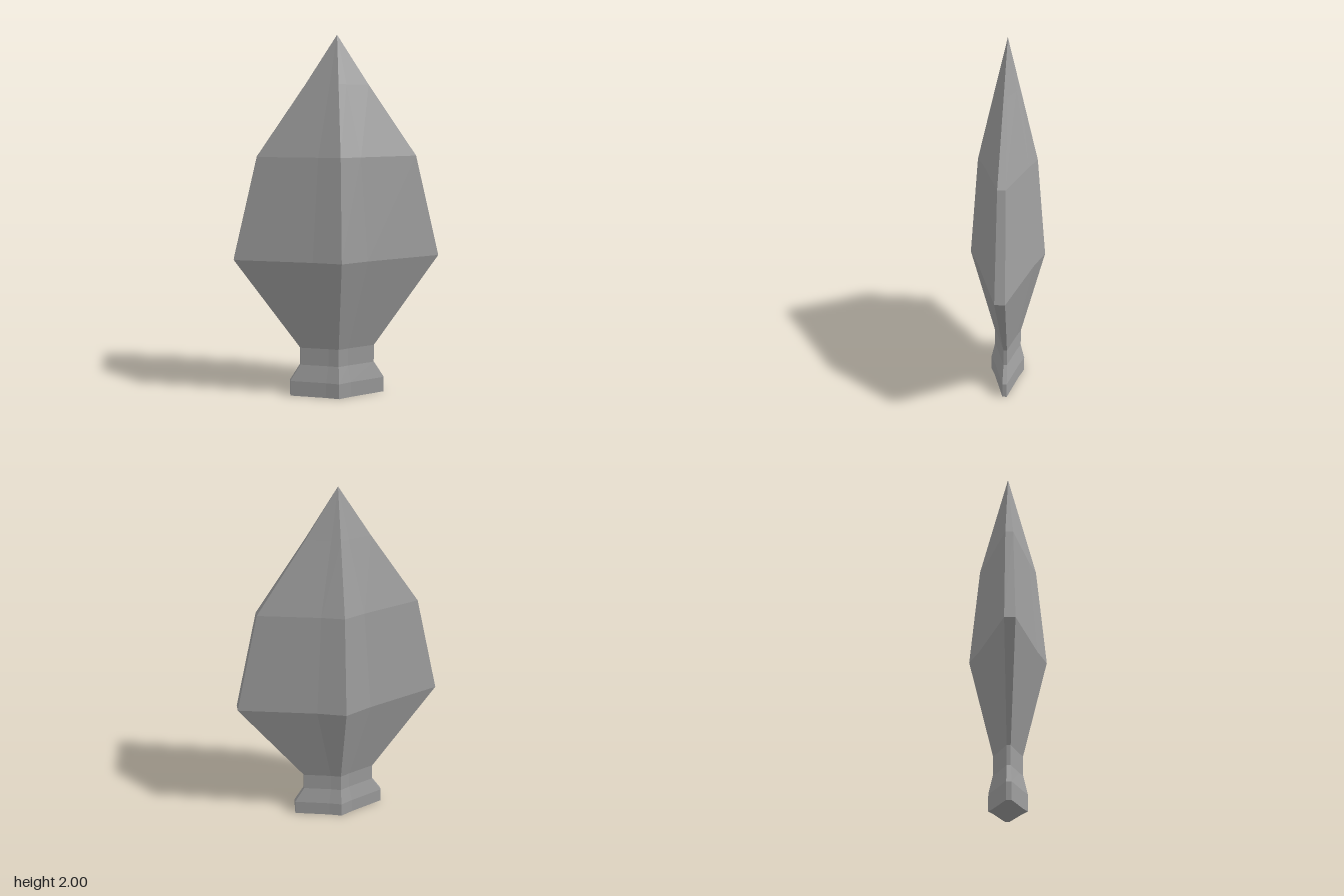
import * as THREE from 'three';

const material = new THREE.MeshStandardMaterial({ color: 0x9e9e9e, flatShading: true });

// Cross-section at the widest level as [x, z]: a flattened diamond with blunt
// side edges, a ridge front and back, and slightly hollow faces.
const quarter = [[0, 0.21], [0.15, 0.153], [0.57, 0.027]];
const half = [...quarter, ...quarter.map(([x, z]) => [x, -z]).reverse()];
const section = [...half, ...half.slice(1, -1).map(([x, z]) => [-x, z]).reverse()];

// Skins rings given as [y, half width, half depth], from the bottom up.
function loft(name, rings, capBottom = false) {
  const n = section.length;
  const positions = [];
  const index = [];
  for (const [y, w, d] of rings) {
    for (const [x, z] of section) positions.push(x * w / 0.57, y, z * d / 0.21);
  }
  for (let r = 0; r < rings.length - 1; r++) {
    for (let i = 0; i < n; i++) {
      const a = r * n + i;
      const b = r * n + (i + 1) % n;
      index.push(a, b, b + n);
      if (rings[r + 1][1] > 0) index.push(a, b + n, a + n);
    }
  }
  if (capBottom) {
    const centre = positions.length / 3;
    positions.push(0, rings[0][0], 0);
    for (let i = 0; i < n; i++) index.push(centre, (i + 1) % n, i);
  }
  const geometry = new THREE.BufferGeometry();
  geometry.setAttribute('position', new THREE.Float32BufferAttribute(positions, 3));
  geometry.setIndex(index);
  geometry.computeVertexNormals();
  const mesh = new THREE.Mesh(geometry, material);
  mesh.name = name;
  return mesh;
}

export function createModel() {
  const group = new THREE.Group();
  group.name = 'spearhead';
  // Flared foot with a closed underside
  group.add(loft('base', [[0, 0.268, 0.099], [0.087, 0.268, 0.099], [0.18, 0.21, 0.077]], true));
  // Narrow neck
  group.add(loft('neck', [[0.18, 0.21, 0.077], [0.28, 0.21, 0.077]]));
  // Leaf-shaped blade tapering to a point
  group.add(loft('blade', [
    [0.28, 0.21, 0.077],
    [0.797, 0.57, 0.21],
    [1.356, 0.435, 0.16],
    [1.74, 0.17, 0.065],
    [2, 0, 0],
  ]));
  return group;
}
